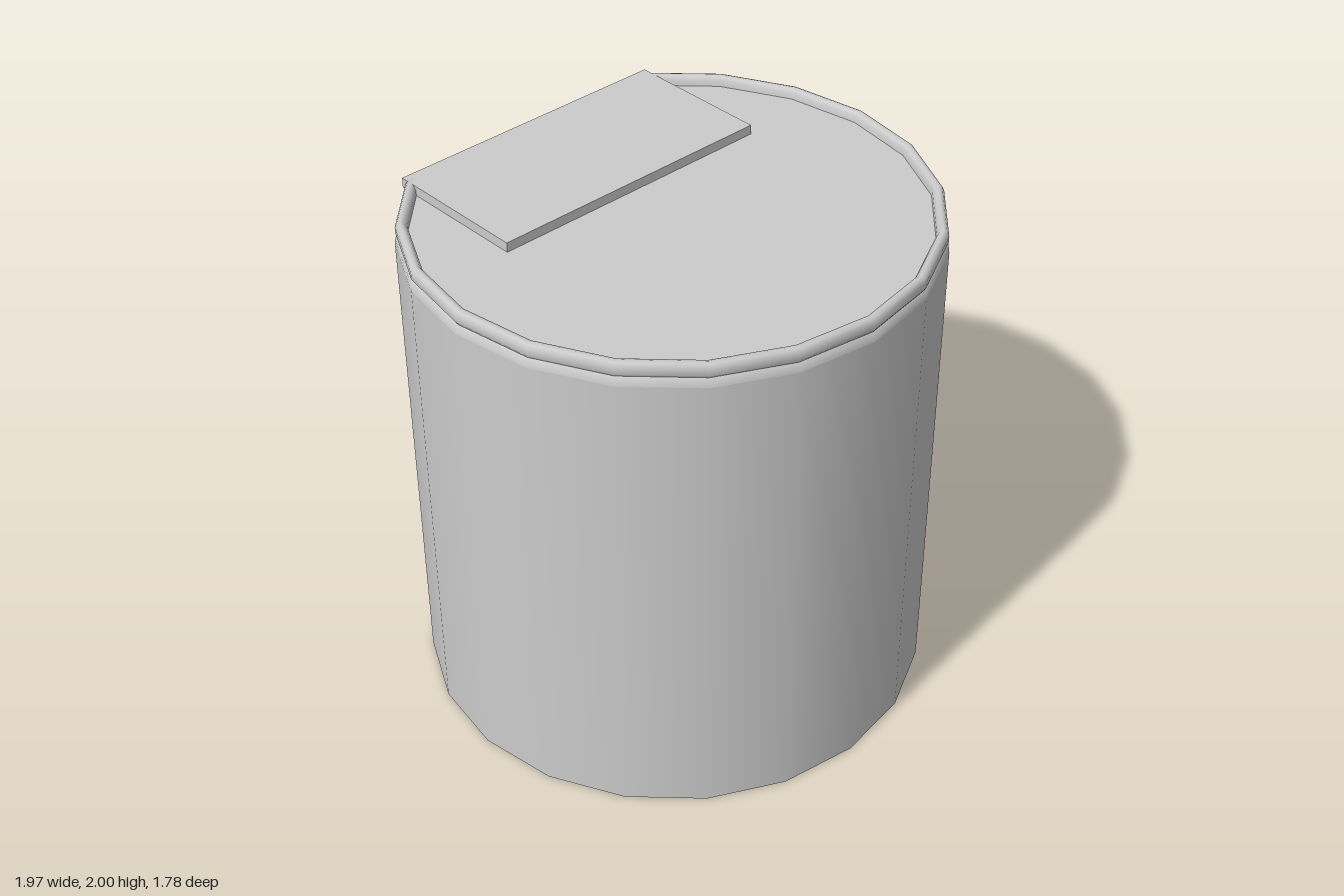
import * as THREE from 'three';

const R = 0.985;                 // body radius
const CZ = -0.094;               // centre of the round part
const SIDES = 16;                // 16 of 20 sides; the other four are cut off flat
const HALF = THREE.MathUtils.degToRad(144);
const BACK = CZ + R * Math.cos(HALF);
const HALF_W = R * Math.sin(HALF);

export function createModel() {
  const group = new THREE.Group();
  const grey = new THREE.MeshStandardMaterial({ color: 0xcccccc, side: THREE.DoubleSide });

  const add = (name, geometry, x, y, z) => {
    const mesh = new THREE.Mesh(geometry, grey);
    mesh.name = name;
    mesh.position.set(x, y, z);
    group.add(mesh);
  };
  const sweep = (profile) => new THREE.LatheGeometry(
    profile.map(([r, y]) => new THREE.Vector2(r, y)), SIDES, -HALF, 2 * HALF);

  // Round wall, open at the bottom
  add('bodyWall', sweep([[R, 0], [R, 1.91]]), 0, 0, CZ);

  // Shoulder and rounded rim
  add('shoulder', sweep([[R, 1.91], [0.982, 1.93], [0.972, 1.943]]), 0, 0, CZ);
  add('rim', sweep([
    [0.972, 1.943], [0.98, 1.955], [0.98, 1.98], [0.972, 1.995],
    [0.96, 2], [0.946, 1.995], [0.937, 1.98], [0.935, 1.955],
  ]), 0, 0, CZ);

  // Flat back wall
  const back = new THREE.PlaneGeometry(2 * HALF_W, 1.998);
  back.rotateY(Math.PI);
  add('backWall', back, 0, 0.999, BACK);

  // Recessed lid, following the cut-off outline
  const outline = [];
  for (let i = 0; i <= SIDES; i++) {
    const a = -HALF + (2 * HALF * i) / SIDES;
    outline.push(new THREE.Vector2(0.965 * Math.sin(a), -0.965 * Math.cos(a)));
  }
  const lid = new THREE.ShapeGeometry(new THREE.Shape(outline));
  lid.rotateX(-Math.PI / 2);
  add('lid', lid, 0, 1.96, CZ);

  // Raised flap along the back edge
  const front = -0.3;
  add('flap', new THREE.BoxGeometry(2 * 0.59, 0.038, front - BACK),
    0, 1.979, (front + BACK) / 2);

  return group;
}
